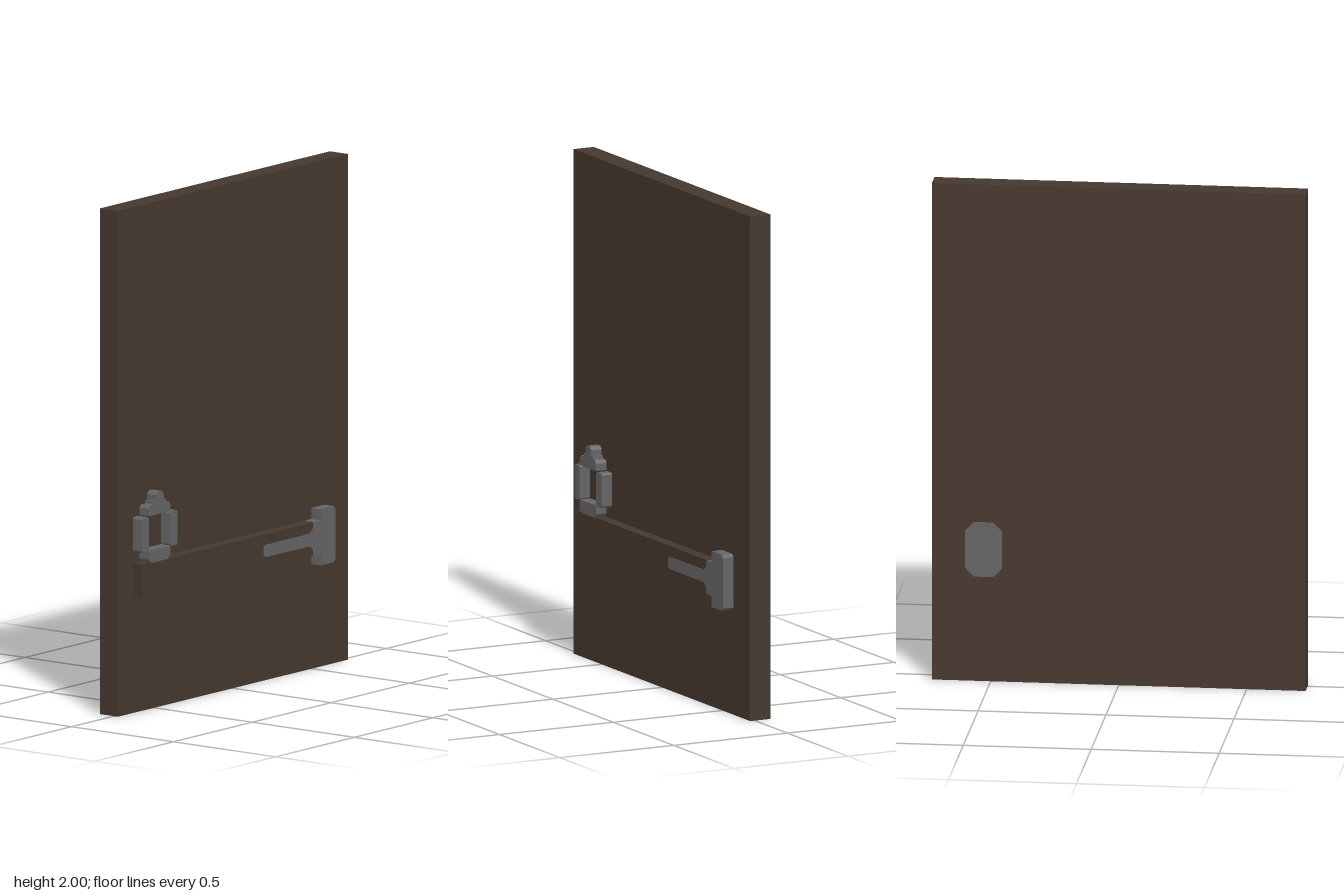
import * as THREE from 'three';

const wood = new THREE.MeshStandardMaterial({ color: 0x46382f });
wood.name = 'dark wood';
const iron = new THREE.MeshStandardMaterial({ color: 0x636463 });
iron.name = 'grey iron';

// Extrudes an outline of [z, y] points from x0 to x1.
function plate(name, points, x0, x1, material) {
  const shape = new THREE.Shape(points.map(([z, y]) => new THREE.Vector2(-z, y)));
  const geometry = new THREE.ExtrudeGeometry(shape, { depth: x1 - x0, bevelEnabled: false });
  geometry.rotateY(Math.PI / 2).translate(x0, 0, 0);
  const mesh = new THREE.Mesh(geometry, material);
  mesh.name = name;
  return mesh;
}

// Rectangle outline with clipped corners; lower and upper clips can differ.
function clipped(z0, z1, y0, y1, low, high = low) {
  return [
    [z0 + low, y0], [z1 - low, y0], [z1, y0 + low], [z1, y1 - high],
    [z1 - high, y1], [z0 + high, y1], [z0, y1 - high], [z0, y0 + low],
  ];
}

function box(name, x0, x1, y0, y1, z0, z1, material) {
  const mesh = new THREE.Mesh(new THREE.BoxGeometry(x1 - x0, y1 - y0, z1 - z0), material);
  mesh.position.set((x0 + x1) / 2, (y0 + y1) / 2, (z0 + z1) / 2);
  mesh.name = name;
  return mesh;
}

export function createModel() {
  const model = new THREE.Group();
  model.name = 'door';
  const face = 0.02, front = 0.066;

  // Door slab and the raised crossbar
  model.add(box('doorPanel', -0.068, face, 0, 2, -0.73, 0.73, wood));
  model.add(box('crossbar', face, front - 0.002, 0.459, 0.592, -0.455, 0.636, wood));

  // T-shaped strap hinge: upper half of the outline, mirrored about its centre line
  const mid = 0.525;
  const upper = [
    [-0.136, 0.014], [-0.147, 0.024], [-0.432, 0.025], [-0.45, 0.043], [-0.452, 0.062],
    [-0.457, 0.067], [-0.498, 0.068], [-0.498, 0.111], [-0.58, 0.111], [-0.592, 0.1],
  ];
  const outline = [
    ...upper.map(([z, h]) => [z, mid - h]),
    ...upper.slice().reverse().map(([z, h]) => [z, mid + h]),
  ];
  model.add(plate('strapHinge', outline, face, front, iron));

  // Pull ring: two sides, top, bottom and a small stepped mount
  const ring = new THREE.Group();
  ring.name = 'pullRing';
  for (const [name, z0, z1] of [['ringFrontSide', 0.594, 0.636], ['ringBackSide', 0.412, 0.458]]) {
    ring.add(plate(name, clipped(z0, z1, 0.638, 0.775, 0.007), face, front, iron));
  }
  ring.add(plate('ringTop', clipped(0.458, 0.594, 0.777, 0.818, 0.001, 0.012), face, front, iron));
  ring.add(plate('ringBottom', clipped(0.458, 0.594, 0.59, 0.641, 0.016, 0.001), face, front, iron));
  ring.add(box('mountStep', face, front, 0.816, 0.83, 0.486, 0.56, iron));
  ring.add(plate('mountKnob', clipped(0.499, 0.546, 0.816, 0.865, 0.001, 0.012), face, front, iron));
  model.add(ring);

  // Rounded hinge plate showing on the other side
  model.add(plate('rearHingePlate', clipped(-0.6, -0.455, 0.42, 0.64, 0.035), -0.07, -0.067, iron));

  return model;
}
